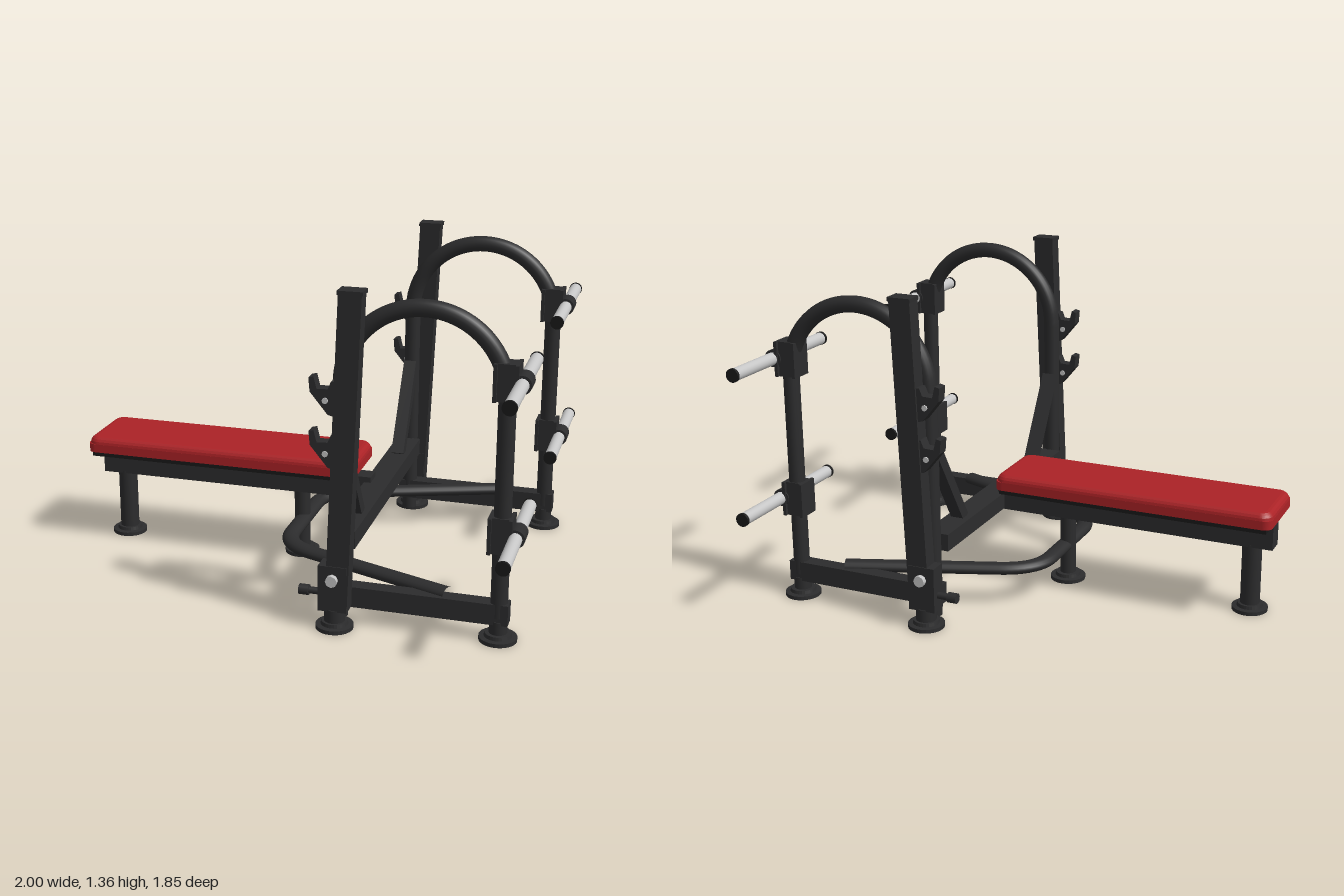
import * as THREE from 'three';

const mat = (name, color, side = THREE.FrontSide) => {
  const m = new THREE.MeshStandardMaterial({ color, side });
  m.name = name;
  return m;
};

export function createModel() {
  const frame = mat('charcoal frame', 0x2c2c2d);
  const black = mat('black rubber', 0x191919);
  const red = mat('red upholstery', 0xab2226);
  const steel = mat('bright steel', 0xc6c6c6);
  const root = new THREE.Group();
  root.name = 'benchPressRack';

  const add = (name, geo, m, x = 0, y = 0, z = 0, parent = root) => {
    const mesh = new THREE.Mesh(geo, m);
    mesh.name = name;
    mesh.position.set(x, y, z);
    parent.add(mesh);
    return mesh;
  };
  const box = (name, w, h, d, x, y, z, m = frame) =>
    add(name, new THREE.BoxGeometry(w, h, d), m, x, y, z);
  // Cylinder along a chosen axis
  const rod = (name, r, len, axis, x, y, z, m = frame, seg = 24) => {
    const g = new THREE.CylinderGeometry(r, r, len, seg);
    if (axis === 'x') g.rotateZ(Math.PI / 2);
    if (axis === 'z') g.rotateX(Math.PI / 2);
    return add(name, g, m, x, y, z);
  };
  // Stepped round foot
  const footProfile = [[0, 0], [0.075, 0], [0.075, 0.016], [0.055, 0.018],
    [0.052, 0.032], [0, 0.032]].map(p => new THREE.Vector2(...p));
  const foot = (x, z) => {
    const g = new THREE.LatheGeometry(footProfile, 28).toNonIndexed();
    g.computeVertexNormals();
    add('foot', g, frame, x, 0, z);
  };
  const roundedRect = (w, d, r) => {
    const s = new THREE.Shape();
    const a = w / 2 - r, b = d / 2 - r;
    s.absarc(a, b, r, 0, Math.PI / 2);
    s.absarc(-a, b, r, Math.PI / 2, Math.PI);
    s.absarc(-a, -b, r, Math.PI, Math.PI * 1.5);
    s.absarc(a, -b, r, Math.PI * 1.5, Math.PI * 2);
    return s;
  };

  // Bench pad: body plus a softly rounded top
  const padBody = new THREE.ExtrudeGeometry(roundedRect(1.21, 0.33, 0.035),
    { depth: 0.037, bevelEnabled: false, curveSegments: 6 }).rotateX(-Math.PI / 2);
  add('padSide', padBody, red, -0.395, 0.423, 0);
  const padTop = new THREE.ExtrudeGeometry(roundedRect(1.15, 0.27, 0.02), {
    depth: 0.002, bevelThickness: 0.031, bevelSize: 0.03, bevelSegments: 4, curveSegments: 6,
  }).rotateX(-Math.PI / 2);
  add('padTop', padTop, red, -0.395, 0.457, 0);
  box('padBoard', 1.17, 0.018, 0.31, -0.395, 0.412, 0, black);
  box('padBracket', 0.9, 0.012, 0.15, -0.38, 0.398, 0);
  for (const x of [-0.75, -0.38, 0]) box('padSpacer', 0.07, 0.03, 0.07, x, 0.385, 0);

  // Bench spine and legs
  box('benchBeam', 1.23, 0.1, 0.08, -0.365, 0.34, 0);
  box('beamEndTab', 0.05, 0.06, 0.06, 0.225, 0.36, 0);
  for (const [x, r] of [[-0.885, 0.041], [-0.065, 0.034]]) {
    rod('benchLeg', r, 0.28, 'y', x, 0.16, 0);
    foot(x, 0);
  }

  // Cross beam joining the two sides
  box('crossBeam', 0.105, 0.072, 1.15, 0.273, 0.33, 0);

  // Bent floor stabiliser with rounded corners
  const bend = new THREE.CurvePath();
  const v = (x, z) => new THREE.Vector3(x, 0, z);
  bend.add(new THREE.LineCurve3(v(0.7, -0.585), v(0.1, -0.365)));
  bend.add(new THREE.QuadraticBezierCurve3(v(0.1, -0.365), v(-0.055, -0.31), v(-0.055, -0.17)));
  bend.add(new THREE.LineCurve3(v(-0.055, -0.17), v(-0.055, 0.17)));
  bend.add(new THREE.QuadraticBezierCurve3(v(-0.055, 0.17), v(-0.055, 0.31), v(0.1, 0.365)));
  bend.add(new THREE.LineCurve3(v(0.1, 0.365), v(0.7, 0.585)));
  const stabiliser = new THREE.TubeGeometry(bend, 90, 0.036, 16);
  stabiliser.scale(1, 0.7, 1);
  add('floorStabiliser', stabiliser, frame, 0, 0.158, 0);

  // Bar hook outline
  const hookShape = new THREE.Shape([[0.175, 0.15], [0.18, 0.095], [0.25, 0.01], [0.29, 0],
    [0.29, 0.14], [0.262, 0.14], [0.25, 0.11], [0.207, 0.108], [0.195, 0.155]]
    .map(p => new THREE.Vector2(...p)));
  const hookGeo = new THREE.ExtrudeGeometry(hookShape, { depth: 0.05, bevelEnabled: false });
  hookGeo.translate(0, 0, -0.025);

  // Arch: front leg, half circle, rear leg
  const arch = new THREE.CurvePath();
  const pt = (x, y) => new THREE.Vector3(x, y, 0);
  const arcPoints = [];
  for (let i = 0; i <= 16; i++) {
    const a = Math.PI * (1 - i / 16);
    arcPoints.push(pt(0.59 + 0.315 * Math.cos(a), 0.975 + 0.315 * Math.sin(a)));
  }
  arch.add(new THREE.LineCurve3(pt(0.275, 0.1), pt(0.275, 0.975)));
  arch.add(new THREE.CatmullRomCurve3(arcPoints));
  arch.add(new THREE.LineCurve3(pt(0.905, 0.975), pt(0.905, 0.1)));
  const archGeo = new THREE.TubeGeometry(arch, 140, 0.034, 16);

  for (const s of [1, -1]) {
    const zU = 0.678 * s, zA = 0.603 * s;

    // Leaning upright with cap, base sleeve, foot and pivot bolt
    const lean = -0.039;
    box('upright', 0.09, 1.27, 0.066, 0.31, 0.715, zU).rotation.z = lean;
    box('uprightCap', 0.098, 0.016, 0.074, 0.335, 1.352, zU);
    box('uprightSleeve', 0.115, 0.19, 0.074, 0.273, 0.175, zU);
    rod('uprightStub', 0.042, 0.07, 'y', 0.273, 0.05, zU);
    foot(0.273, zU);
    rod('pivotBolt', 0.024, 0.02, 'z', 0.273, 0.215, 0.725 * s, steel, 8);
    rod('pinShaft', 0.014, 0.08, 'x', 0.19, 0.145, zU);
    rod('pinKnob', 0.021, 0.04, 'x', 0.15, 0.145, zU);

    // Bar hooks
    for (const y of [0.87, 0.66]) {
      add('barHook', hookGeo, frame, 0, y, zU);
      rod('hookBolt', 0.012, 0.062, 'z', 0.24, y + 0.065, zU, steel, 8);
    }

    // Arch, base rail and rear foot
    add('arch', archGeo, frame, 0, 0, zA);
    box('baseRail', 0.71, 0.085, 0.064, 0.59, 0.115, zA);
    rod('rearStub', 0.036, 0.07, 'y', 0.905, 0.05, zA);
    foot(0.905, zA);
    rod('archStub', 0.032, 0.08, 'y', 0.275, 0.06, zA);

    // Diagonal brace from arch to cross beam
    const dz = 0.215, dy = 0.35;
    const brace = box('diagonalBrace', 0.055, Math.hypot(dz, dy) + 0.02, 0.046, 0.275, 0.545, 0.47 * s);
    brace.rotation.x = s * Math.atan2(dz, dy);

    // Plate storage pegs and their brackets
    for (const y of [1.04, 0.44]) {
      box('pegClamp', 0.084, 0.145, 0.074, 0.9, y, zA);
      box('pegClampPlate', 0.014, 0.145, 0.1, 0.863, y, zA);
      box('pegBackPlate', 0.014, 0.145, 0.1, 0.943, y, zA);
      rod('pegCollar', 0.036, 0.085, 'z', 0.962, y, zA);
      rod('platePeg', 0.026, 0.63, 'z', 0.962, y, 0.601 * s, steel);
      for (const e of [-1, 1])
        rod('pegEndCap', 0.028, 0.012, 'z', 0.962, y, 0.601 * s + e * 0.318, black);
    }
  }
  return root;
}
